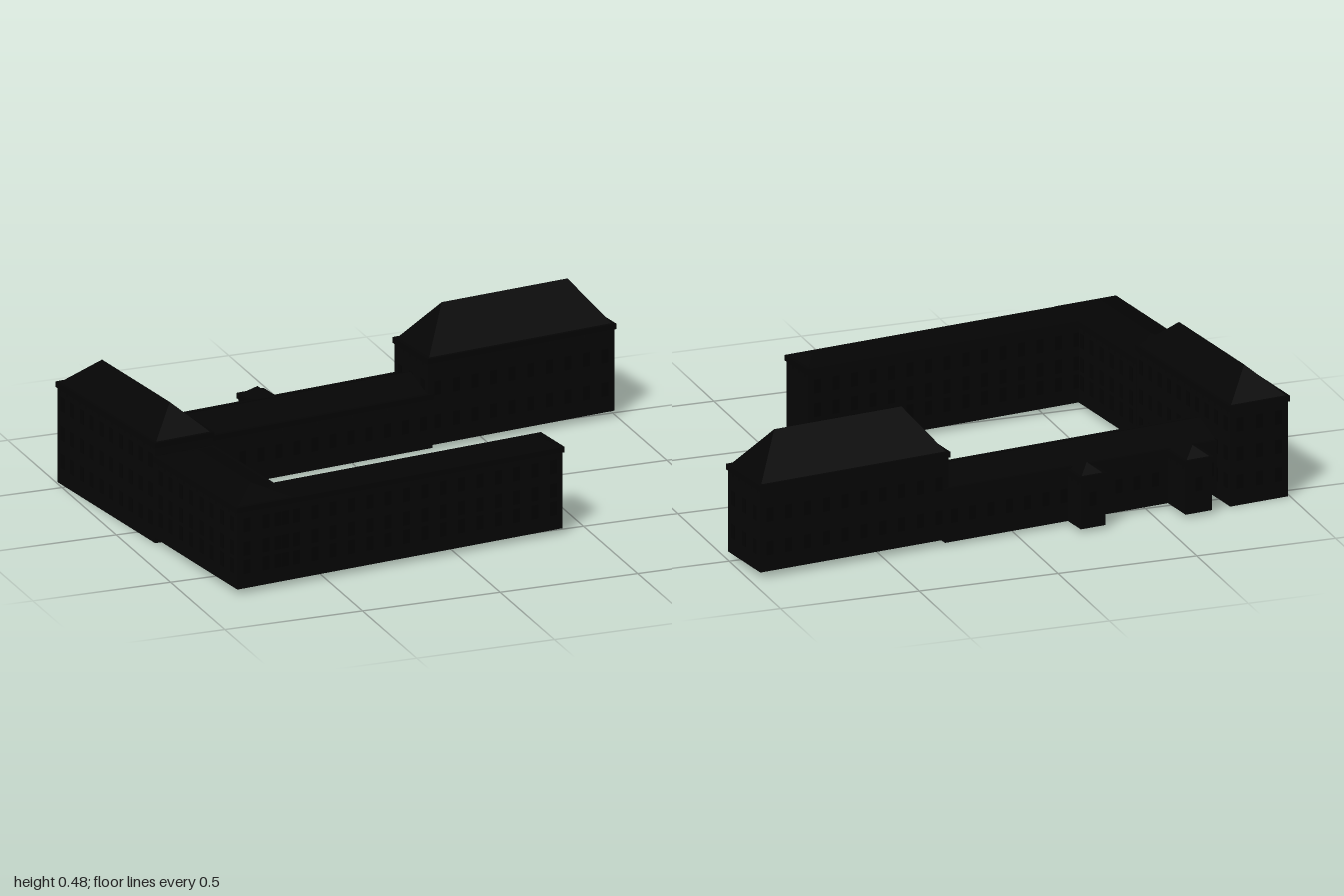
import * as THREE from 'three';

const wallMat = new THREE.MeshStandardMaterial({ color: 0x050505, side: THREE.DoubleSide });
wallMat.name = 'black wall';
const roofMat = new THREE.MeshStandardMaterial({ color: 0x040404, side: THREE.DoubleSide });
roofMat.name = 'black roof';
const windowMat = new THREE.MeshStandardMaterial({ color: 0x020202 });
windowMat.name = 'dark window';

// Box from its minimum and maximum corners
function box(parent, name, mat, x0, x1, y0, y1, z0, z1) {
  const m = new THREE.Mesh(new THREE.BoxGeometry(x1 - x0, y1 - y0, z1 - z0), mat);
  m.position.set((x0 + x1) / 2, (y0 + y1) / 2, (z0 + z1) / 2);
  m.name = name;
  parent.add(m);
}

function facesMesh(parent, name, mat, points) {
  const g = new THREE.BufferGeometry();
  g.setAttribute('position', new THREE.Float32BufferAttribute(points.flat(), 3));
  g.computeVertexNormals();
  const m = new THREE.Mesh(g, mat);
  m.name = name;
  parent.add(m);
  return m;
}

// Open band around a rectangle, through a profile of [inset, height] steps from bottom to top
function band(parent, name, mat, x0, x1, z0, z1, profile) {
  const loops = profile.map(([i, y]) => [
    [x0 + i, y, z1 - i], [x1 - i, y, z1 - i], [x1 - i, y, z0 + i], [x0 + i, y, z0 + i]]);
  const points = [];
  for (let k = 0; k + 1 < loops.length; k++)
    for (let c = 0; c < 4; c++) {
      const d = (c + 1) % 4, lo = loops[k], hi = loops[k + 1];
      points.push(lo[c], lo[d], hi[d], lo[c], hi[d], hi[c]);
    }
  facesMesh(parent, name, mat, points);
}

// Hipped roof with its ridge along x; i0 and i1 are the ridge insets at the two ends
function hipRoof(parent, length, width, height, i0, i1) {
  const l = length / 2, w = width / 2;
  const A = [-l, 0, w], B = [l, 0, w], C = [l, 0, -w], D = [-l, 0, -w];
  const R0 = [-l + i0, height, 0], R1 = [l - i1, height, 0];
  return facesMesh(parent, 'roof', roofMat,
    [A, B, R1, A, R1, R0, B, C, R1, C, D, R0, C, R0, R1, D, A, R0]);
}

// A row of window plates along one wall; side is 'front', 'back', 'left' or 'right'
function windowRow(parent, side, wall, from, to, y) {
  const n = Math.max(1, Math.floor((to - from) / 0.068)), step = (to - from) / n;
  const w = 0.026, t = 0.0015, h = 0.05;
  for (let i = 0; i < n; i++) {
    const c = from + step * (i + 0.5);
    if (side === 'front' || side === 'back')
      box(parent, 'window', windowMat, c - w / 2, c + w / 2, y, y + h, wall - t, wall + t);
    else
      box(parent, 'window', windowMat, wall - t, wall + t, y, y + h, c - w / 2, c + w / 2);
  }
}

// Small brackets under the cornice on all four sides
function brackets(parent, x0, x1, y, z0, z1) {
  const s = 0.004, gap = 0.045;
  for (let x = x0 + 0.02; x < x1; x += gap)
    for (const z of [z0, z1]) box(parent, 'bracket', wallMat, x - s, x + s, y - 0.012, y, z - s, z + s);
  for (let z = z0 + 0.02; z < z1; z += gap)
    for (const x of [x0, x1]) box(parent, 'bracket', wallMat, x - s, x + s, y - 0.012, y, z - s, z + s);
}

// One building block, open below: walls, cornice, hipped roof and windows
function wing(o) {
  const g = new THREE.Group();
  g.name = o.name;
  const { x: [x0, x1], z: [z0, z1], base, eave, ridge, insets: [i0, i1] } = o;
  const e = 0.005, ct = 0.02, lip = 0.012;
  const wx0 = x0 + e, wx1 = x1 - e, wz0 = z0 + e, wz1 = z1 - e;
  band(g, 'walls', wallMat, x0, x1, z0, z1, [[e, base], [e, eave - ct]]);
  band(g, 'cornice', roofMat, x0, x1, z0, z1, [[e, eave - ct], [0, eave - ct], [0, eave], [lip, eave]]);
  brackets(g, wx0, wx1, eave - ct, wz0, wz1);

  const alongZ = o.ridgeAxis === 'z';
  const lx = x1 - x0 - 2 * lip, lz = z1 - z0 - 2 * lip;
  const roof = hipRoof(g, alongZ ? lz : lx, alongZ ? lx : lz, ridge - eave, i0, i1);
  roof.position.set((x0 + x1) / 2, eave, (z0 + z1) / 2);
  if (alongZ) roof.rotation.y = Math.PI / 2;

  const walls = { front: [wz1, wx0, wx1], back: [wz0, wx0, wx1], left: [wx1, wz0, wz1], right: [wx0, wz0, wz1] };
  for (const side of o.windows)
    for (const y of o.rows) windowRow(g, side, ...walls[side], y);
  return g;
}

export function createModel() {
  const model = new THREE.Group();
  model.name = 'courtyardBuilding';
  const plan = new THREE.Group();
  plan.name = 'turnedPlan';
  plan.rotation.y = 0.127;
  model.add(plan);

  const wings = [
    { name: 'tallCornerBlock', x: [-0.921, -0.69], z: [-0.681, 0.014], base: 0, eave: 0.362, ridge: 0.457,
      ridgeAxis: 'z', insets: [0.093, 0.103], windows: ['front', 'back', 'left', 'right'], rows: [0.06, 0.16, 0.265] },
    { name: 'sideWing', x: [-0.921, -0.69], z: [0.005, 0.59], base: 0.018, eave: 0.313, ridge: 0.35,
      ridgeAxis: 'z', insets: [0.1, 0.098], windows: ['front', 'left', 'right'], rows: [0.07, 0.135, 0.22] },
    { name: 'frontWing', x: [-0.8, 0.342], z: [0.425, 0.59], base: 0.018, eave: 0.312, ridge: 0.333,
      insets: [0, 0.05], windows: ['front', 'back'], rows: [0.07, 0.135, 0.22] },
    { name: 'lowRearWing', x: [-0.71, 0.345], z: [-0.582, -0.328], base: 0.012, eave: 0.207, ridge: 0.25,
      insets: [0, 0], windows: ['front', 'back'], rows: [0.08] },
    { name: 'rearPavilion', x: [0.32, 1.047], z: [-0.577, -0.329], base: 0.022, eave: 0.336, ridge: 0.48,
      insets: [0.11, 0.108], windows: ['front', 'back', 'left', 'right'], rows: [0.08, 0.2] },
    { name: 'largeRearAnnex', x: [-0.615, -0.504], z: [-0.712, -0.46], base: 0.012, eave: 0.205, ridge: 0.24,
      ridgeAxis: 'z', insets: [0.04, 0.04], windows: ['back'], rows: [0.09] },
    { name: 'smallRearAnnex', x: [-0.226, -0.123], z: [-0.676, -0.46], base: 0.012, eave: 0.2, ridge: 0.232,
      ridgeAxis: 'z', insets: [0.04, 0.04], windows: ['back'], rows: [0.09] },
  ];
  for (const w of wings) plan.add(wing(w));
  return model;
}
